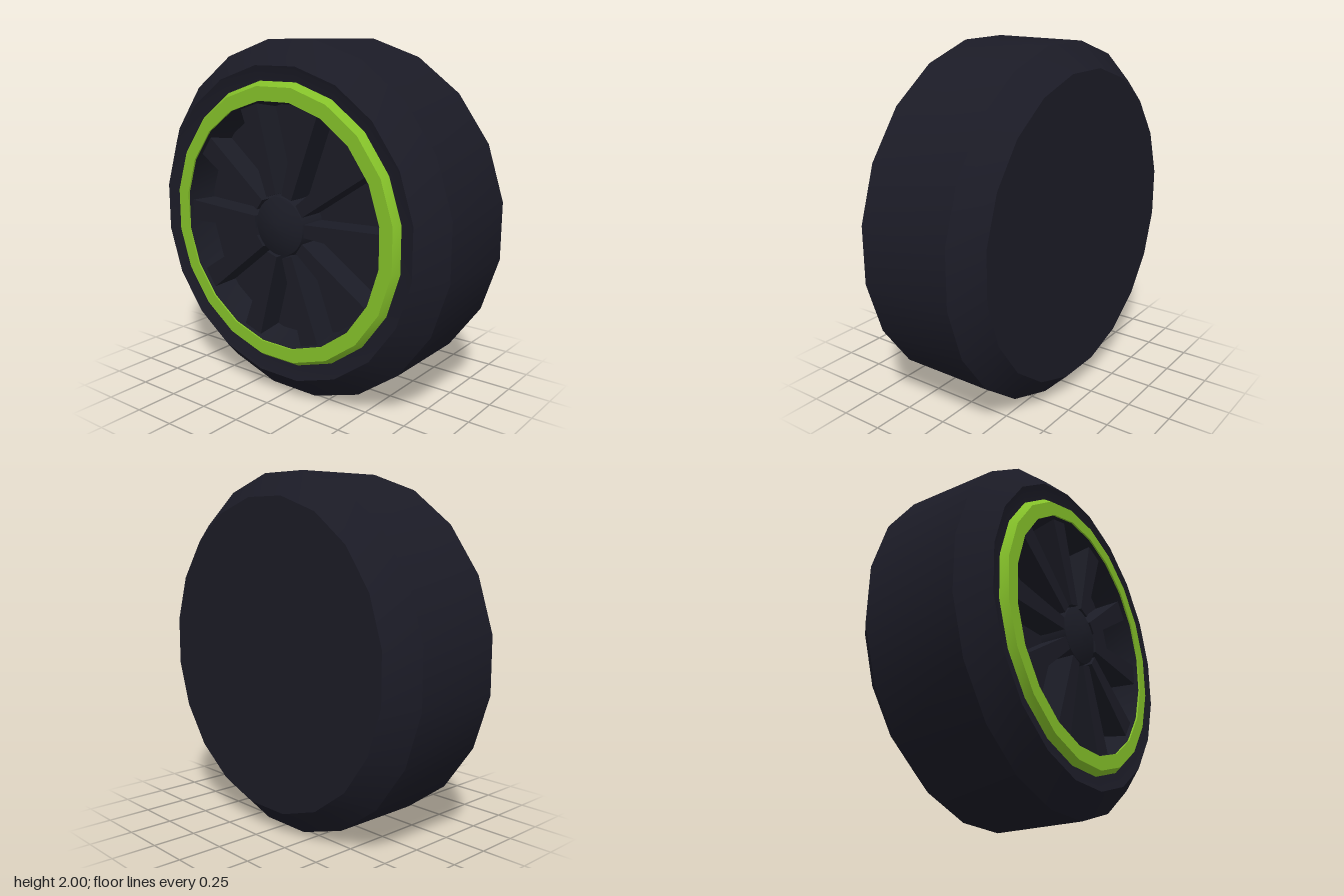
import * as THREE from 'three';
import { toCreasedNormals } from 'three/addons/utils/BufferGeometryUtils.js';

const SIDES = 20;

const material = (name, color) => {
  const m = new THREE.MeshStandardMaterial({ color });
  m.name = name;
  return m;
};

// Many-sided ring around z, from [distance to flat, z] pairs
function turned(name, profile, mat, sides = SIDES) {
  const toCorner = 1 / Math.cos(Math.PI / sides);
  const points = profile.map(([r, z]) => new THREE.Vector2(r * toCorner, z));
  const geometry = new THREE.LatheGeometry(points, sides, Math.PI / sides);
  geometry.rotateX(Math.PI / 2);
  const mesh = new THREE.Mesh(toCreasedNormals(geometry, Math.PI / 7), mat);
  mesh.name = name;
  return mesh;
}

export function createModel() {
  const rubber = material('black rubber', 0x1b1b26);
  const metal = material('dark metal', 0x1b1c26);
  const green = material('green paint', 0x84c029);

  const wheel = new THREE.Group();
  wheel.name = 'wheel';
  wheel.position.y = 1;

  // Tyre with closed back, chamfered shoulders and a slightly dished sidewall
  wheel.add(turned('tyre', [
    [0, -0.416], [0.865, -0.416], [1, -0.28], [1, 0.265],
    [0.865, 0.4], [0.785, 0.375], [0.7, 0.375],
  ], rubber));

  // Bevelled rim ring
  wheel.add(turned('rimRing', [
    [0.787, 0.37], [0.757, 0.413], [0.68, 0.413], [0.68, 0.403],
  ], green));

  // Recessed bowl behind the spokes
  wheel.add(turned('rimBowl', [[0.68, 0.403], [0.65, 0.23], [0, 0.23]], metal));

  // Ten tapered spokes
  const outline = new THREE.Shape([
    new THREE.Vector2(0.175, -0.036), new THREE.Vector2(0.675, -0.062),
    new THREE.Vector2(0.675, 0.062), new THREE.Vector2(0.175, 0.036),
  ]);
  const spokeGeometry = new THREE.ExtrudeGeometry(outline, { depth: 0.15, bevelEnabled: false });
  const spokes = new THREE.Group();
  spokes.name = 'spokes';
  for (let i = 0; i < 10; i++) {
    const spoke = new THREE.Mesh(spokeGeometry, metal);
    spoke.name = 'spoke';
    spoke.position.z = 0.23;
    spoke.rotation.z = (i * Math.PI) / 5;
    spokes.add(spoke);
  }
  wheel.add(spokes);

  // Hub: flared foot running up to a shallow domed cap
  wheel.add(turned('hub', [
    [0.185, 0.23], [0.163, 0.375], [0.13, 0.389], [0.08, 0.403], [0.03, 0.411], [0, 0.413],
  ], metal, 32));

  const model = new THREE.Group();
  model.name = 'model';
  model.add(wheel);
  return model;
}
